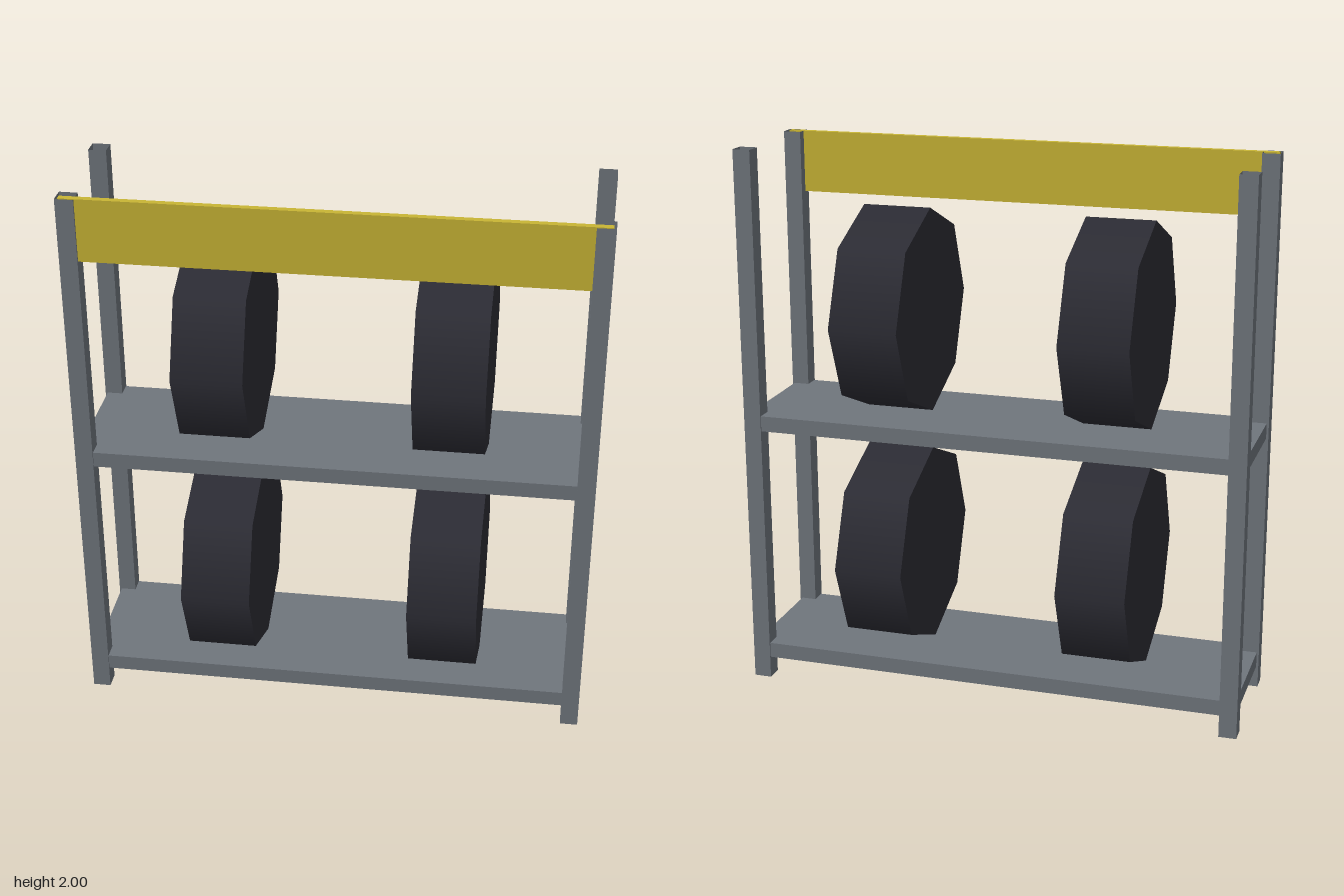
import * as THREE from 'three';

export function createModel() {
  const group = new THREE.Group();
  group.name = 'wheelRack';

  const steel = new THREE.MeshStandardMaterial({ color: 0x70767d, side: THREE.DoubleSide });
  steel.name = 'grey steel';
  const yellow = new THREE.MeshStandardMaterial({ color: 0xc9b535 });
  yellow.name = 'yellow paint';
  const rubber = new THREE.MeshStandardMaterial({ color: 0x2d2d35 });
  rubber.name = 'dark rubber';

  const add = (name, geometry, material, x, y, z) => {
    const mesh = new THREE.Mesh(geometry, material);
    mesh.name = name;
    mesh.position.set(x, y, z);
    group.add(mesh);
  };

  // Hollow square corner posts, open at both ends
  const post = new THREE.CylinderGeometry(Math.SQRT1_2, Math.SQRT1_2, 1, 4, 1, true)
    .toNonIndexed()
    .rotateY(Math.PI / 4)
    .scale(0.064, 2, 0.064);
  post.computeVertexNormals();
  for (const sx of [-1, 1]) {
    for (const sz of [-1, 1]) {
      const name = (sz > 0 ? 'front' : 'back') + (sx > 0 ? 'Left' : 'Right') + 'Post';
      add(name, post, steel, sx * 0.89, 1, sz * 0.225);
    }
  }

  // Shelves run through the posts, each carrying two eight-sided wheels
  const shelf = new THREE.BoxGeometry(1.828, 0.057, 0.504);
  const wheel = new THREE.CylinderGeometry(0.375, 0.375, 0.25, 8).rotateZ(Math.PI / 2);
  [['lower', 0.109], ['upper', 1.003]].forEach(([level, y]) => {
    add(level + 'Shelf', shelf, steel, 0, y, 0);
    for (const sx of [-1, 1]) {
      add(level + (sx > 0 ? 'Left' : 'Right') + 'Wheel', wheel, rubber, sx * 0.41, y + 0.405, 0);
    }
  });

  // Yellow header board set into the front posts
  add('headerBoard', new THREE.BoxGeometry(1.828, 0.225, 0.024), yellow, 0, 1.8875, 0.238);

  return group;
}
